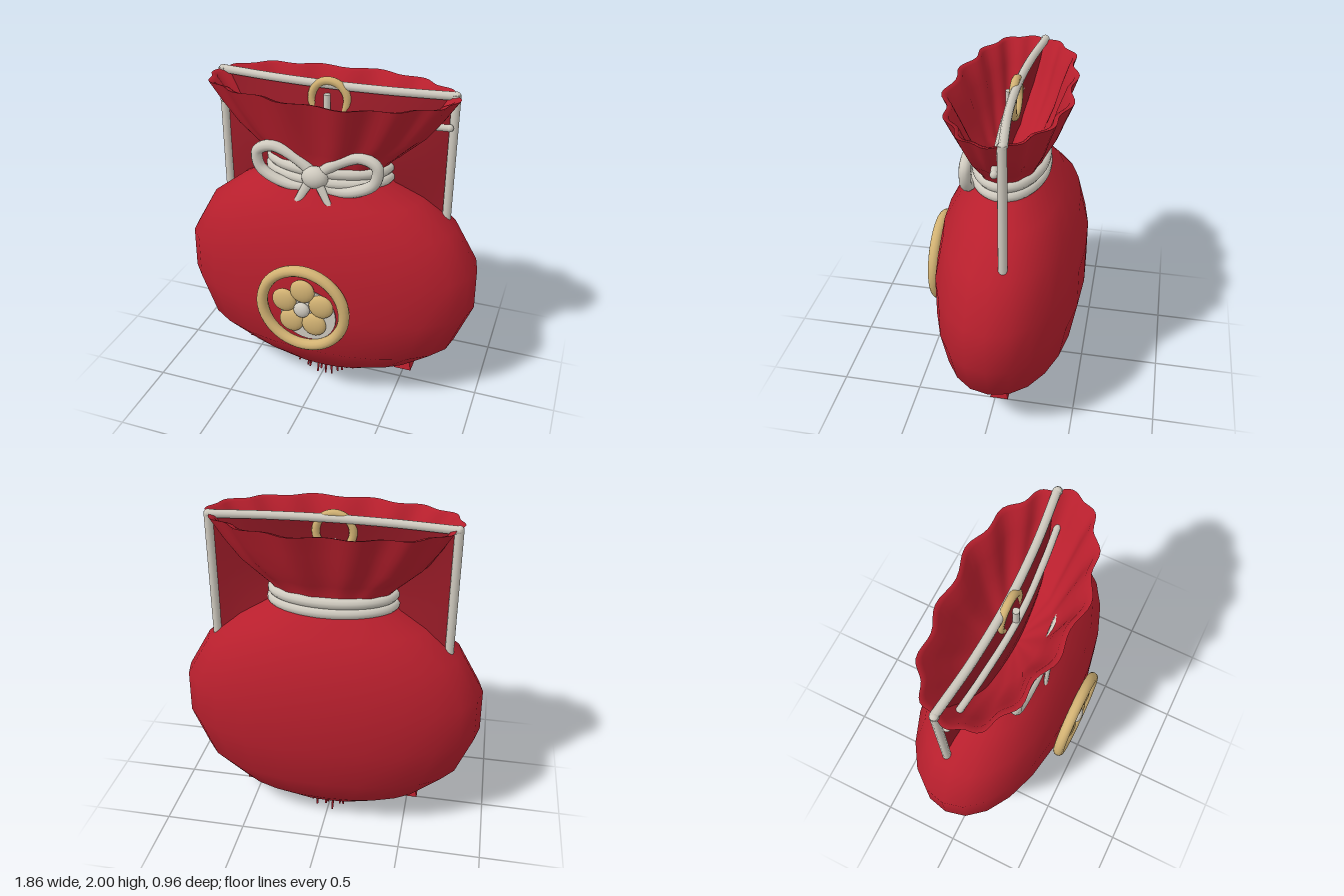
import * as THREE from 'three';

const mat = (name, color, double = false) => {
  const m = new THREE.MeshStandardMaterial({ color });
  m.name = name;
  if (double) m.side = THREE.DoubleSide;
  return m;
};

// Elliptical loft; rows are [y, halfWidth, halfDepth, centreZ, ripple]
function loft(rows, segments, waves) {
  const pos = [], idx = [];
  rows.forEach(([y, w, d, cz, ripple = 0]) => {
    for (let i = 0; i < segments; i++) {
      const a = (i / segments) * Math.PI * 2;
      const c = Math.cos(a), s = Math.sin(a);
      const k = ripple * (Math.cos(a * waves) + 0.5 * Math.sin(a * 5 + 1));
      pos.push(
        Math.sign(c) * Math.abs(c) ** 0.94 * (w + k * 0.6),
        y,
        cz + Math.sign(s) * Math.abs(s) ** 0.94 * (d + k));
    }
  });
  for (let r = 0; r < rows.length - 1; r++) {
    for (let i = 0; i < segments; i++) {
      const n = (i + 1) % segments;
      const a = r * segments + i, b = r * segments + n;
      const c = a + segments, d = b + segments;
      idx.push(a, c, b, b, c, d);
    }
  }
  const g = new THREE.BufferGeometry();
  g.setAttribute('position', new THREE.Float32BufferAttribute(pos, 3));
  g.setIndex(idx);
  g.computeVertexNormals();
  return g;
}

const tube = (points, r, closed = false, n = 48) => new THREE.TubeGeometry(
  new THREE.CatmullRomCurve3(points.map(p => new THREE.Vector3(...p)), closed), n, r, 10, closed);

export function createModel() {
  const model = new THREE.Group();
  model.name = 'drawstringBag';
  const red = mat('red cloth', 0xb81f2d, true);
  const darkRed = mat('dark red cloth', 0x981b27, true);
  const silver = mat('silver cord', 0xcfcabf);
  const gold = mat('gold', 0xd2b273);

  const add = (name, geometry, material, x = 0, y = 0, z = 0, parent = model) => {
    const m = new THREE.Mesh(geometry, material);
    m.name = name;
    m.position.set(x, y, z);
    parent.add(m);
    return m;
  };

  // Round pouch
  add('pouch', loft([
    [0.07, 0.005, 0.005, -0.035], [0.075, 0.24, 0.17, -0.04], [0.1, 0.4, 0.215, -0.045],
    [0.18, 0.61, 0.285, -0.05], [0.37, 0.825, 0.41, -0.03], [0.64, 0.93, 0.447, -0.037],
    [0.91, 0.925, 0.445, -0.037], [1.16, 0.78, 0.395, -0.032], [1.32, 0.57, 0.30, -0.03],
    [1.41, 0.4, 0.225, -0.02], [1.47, 0.35, 0.19, -0.015],
  ], 24, 0), red);

  // Gathered mouth with its lining
  add('mouth', loft([
    [1.45, 0.35, 0.19, -0.015, 0], [1.54, 0.37, 0.195, -0.015, 0.004], [1.62, 0.46, 0.225, -0.02, 0.008],
    [1.71, 0.56, 0.26, -0.025, 0.012], [1.83, 0.65, 0.30, -0.025, 0.016], [1.955, 0.73, 0.345, -0.025, 0.02],
  ], 112, 14), red);
  add('mouthLining', loft([
    [1.955, 0.73, 0.345, -0.025, 0.02], [1.945, 0.695, 0.315, -0.025, 0.018], [1.83, 0.62, 0.27, -0.025, 0.016],
    [1.71, 0.52, 0.23, -0.025, 0.012], [1.54, 0.33, 0.16, -0.015, 0.004], [1.47, 0.005, 0.005, -0.015, 0],
  ], 112, 14), red);

  // Bowed cloth panel between the posts
  const panel = new THREE.PlaneGeometry(1.39, 0.75, 20, 6);
  const p = panel.attributes.position;
  for (let i = 0; i < p.count; i++) {
    const u = p.getX(i) / 0.7, t = 0.5 - p.getY(i) / 0.75;
    p.setZ(i, -0.1 + (0.05 + 0.07 * Math.sin(Math.PI * t)) * (1 - u * u));
  }
  panel.computeVertexNormals();
  add('backPanel', panel, darkRed, 0, 1.575, 0);

  // Frame: posts, top bar and lower bar
  for (const s of [-1, 1]) {
    add('framePost', new THREE.CylinderGeometry(0.026, 0.026, 0.77, 12), silver, s * 0.705, 1.575, -0.095);
    add('barEnd', new THREE.SphereGeometry(0.022, 10, 8), silver, s * 0.69, 1.78, -0.05);
    add('frameCorner', new THREE.SphereGeometry(0.026, 10, 8), silver, s * 0.705, 1.95, -0.097);
  }
  add('topBar', tube([[-0.71, 1.95, -0.1], [-0.36, 1.95, -0.06], [0, 1.95, -0.045],
    [0.36, 1.95, -0.06], [0.71, 1.95, -0.1]], 0.025), silver);
  add('lowerBar', tube([[-0.69, 1.78, -0.05], [-0.35, 1.78, -0.01], [0, 1.78, 0.01],
    [0.35, 1.78, -0.01], [0.69, 1.78, -0.05]], 0.02), silver);
  add('hangRing', new THREE.TorusGeometry(0.108, 0.024, 10, 32), gold, -0.01, 1.868, -0.035);
  add('ringHanger', new THREE.CylinderGeometry(0.02, 0.02, 0.14, 10), silver, -0.01, 1.84, 0.005);

  // Two turns of cord around the neck
  for (const [y, w, d] of [[1.505, 0.36, 0.195], [1.445, 0.365, 0.2]]) {
    const pts = Array.from({ length: 16 }, (_, i) => {
      const a = i / 16 * Math.PI * 2;
      return [w * Math.cos(a), y, -0.018 + d * Math.sin(a)];
    });
    add('neckCord', tube(pts, 0.033, true, 64), silver);
  }

  // Bow with knot, loops and tails
  const bow = new THREE.Group();
  bow.name = 'bow';
  bow.position.set(-0.013, 0, 0);
  model.add(bow);
  const knot = add('knot', new THREE.SphereGeometry(0.08, 20, 14), silver, 0, 1.48, 0.205, bow);
  knot.scale.set(1, 0.85, 0.7);
  for (const s of [-1, 1]) {
    add('bowLoop', tube([[0.03, 1.5], [0.14, 1.585], [0.27, 1.63], [0.36, 1.59], [0.35, 1.49],
      [0.24, 1.42], [0.1, 1.405], [0.02, 1.45]].map(([x, y]) => [s * x, y, 0.185]), 0.034, true, 64),
    silver, 0, 0, 0, bow);
    const tail = add('bowTail', new THREE.CylinderGeometry(0.03, 0.02, 0.15, 8), silver,
      s * 0.065, 1.39, 0.235, bow);
    tail.rotation.set(-0.15, 0, s * 0.5);
    tail.scale.z = 0.5;
  }

  // Flower badge on the front
  const badge = new THREE.Group();
  badge.name = 'flowerBadge';
  badge.position.set(-0.013, 0.72, 0);
  model.add(badge);
  add('badgeRing', new THREE.TorusGeometry(0.26, 0.034, 12, 48), gold, 0, 0, 0.436, badge);
  const disc = add('badgeDisc', new THREE.CylinderGeometry(0.175, 0.175, 0.008, 32), silver, 0.03, -0.045, 0.422, badge);
  disc.rotation.x = Math.PI / 2;
  for (let i = 0; i < 5; i++) {
    const a = Math.PI / 2 + i * Math.PI * 0.4;
    const petal = add('petal', new THREE.SphereGeometry(0.077, 18, 12), gold,
      0.122 * Math.cos(a), 0.122 * Math.sin(a), 0.434, badge);
    petal.scale.z = 0.4;
  }
  const pip = add('flowerCentre', new THREE.SphereGeometry(0.05, 16, 12), silver, 0, 0, 0.45, badge);
  pip.scale.z = 0.6;

  // Small feet
  for (const s of [-1, 1]) {
    const foot = add('foot', new THREE.CylinderGeometry(0.05, 0.08, 0.08, 4), red, s * 0.515, 0.12, -0.04);
    foot.geometry.rotateY(Math.PI / 4);
    foot.geometry = foot.geometry.toNonIndexed();
    foot.geometry.computeVertexNormals();
  }

  // Frayed threads and tag under the bag
  let seed = 7;
  const rnd = () => (seed = (seed * 16807) % 2147483647) / 2147483647;
  for (let i = 0; i < 34; i++) {
    const a = (i + rnd() * 0.7) / 34 * Math.PI * 2, k = 0.82 + rnd() * 0.22;
    const len = 0.05 + rnd() * 0.04;
    const thread = add('thread', new THREE.CylinderGeometry(0.009, 0.006, len, 5), red,
      0.21 * k * Math.cos(a), 0.1 - len / 2 - 0.005, -0.035 + 0.19 * k * Math.sin(a));
    thread.rotation.set(-Math.sin(a) * 0.25, 0, Math.cos(a) * 0.25 + rnd() * 0.2 - 0.1);
  }
  const tag = add('tag', new THREE.BoxGeometry(0.12, 0.008, 0.075), silver, 0, 0.035, -0.03);
  tag.rotation.set(0.75, 0.25, -0.15);

  return model;
}
